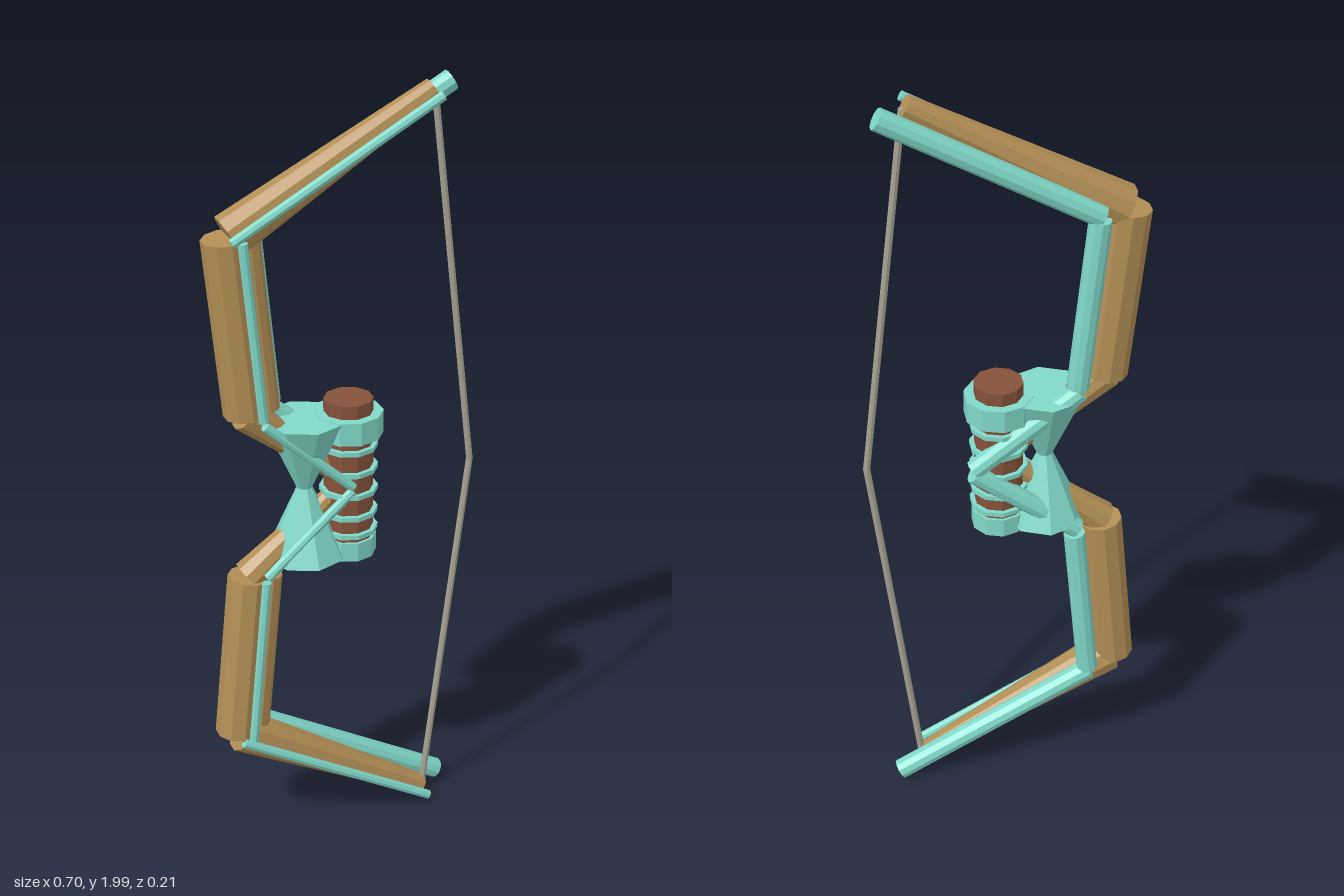
import * as THREE from 'three';

const flat = (color, name) => {
  const m = new THREE.MeshStandardMaterial({ color, flatShading: true });
  m.name = name;
  return m;
};

export function createModel() {
  const wood = flat(0xb28e55, 'wood');
  const teal = flat(0x80d8c9, 'teal metal');
  const leather = flat(0x85523b, 'grip leather');
  const cord = flat(0xa5a292, 'string cord');

  const bow = new THREE.Group();
  bow.name = 'bow';
  const MID = 1.001; // height of the mirror line

  function add(name, geometry, material, x = 0, y = 0, z = 0) {
    const mesh = new THREE.Mesh(geometry, material);
    mesh.name = name;
    mesh.position.set(x, y, z);
    bow.add(mesh);
    return mesh;
  }

  // Tapered rod between two points given as [x, height above the mirror line]
  function rod(name, a, b, z, ra, rb, material, side, sides = 10) {
    const p = new THREE.Vector3(a[0], MID + side * a[1], z);
    const q = new THREE.Vector3(b[0], MID + side * b[1], z);
    const dir = q.clone().sub(p);
    const mesh = add(name, new THREE.CylinderGeometry(rb, ra, dir.length(), sides), material);
    mesh.position.copy(p).add(q).multiplyScalar(0.5);
    mesh.quaternion.setFromUnitVectors(new THREE.Vector3(0, 1, 0), dir.normalize());
  }

  for (const side of [1, -1]) {
    const s = side > 0 ? 'upper' : 'lower';

    // Wooden limb in three pieces, the middle one backed by a slimmer stave
    rod(s + 'InnerLimb', [-0.256, 0.225], [0, 0.005], 0, 0.045, 0.02, wood, side);
    rod(s + 'MiddleLimb', [-0.252, 0.224], [-0.295, 0.676], 0, 0.057, 0.058, wood, side);
    rod(s + 'MiddleStave', [-0.2, 0.229], [-0.243, 0.681], 0, 0.032, 0.032, wood, side);
    rod(s + 'TipLimb', [-0.286, 0.678], [0.223, 0.974], 0, 0.056, 0.028, wood, side);

    // Thin rods along the front
    rod(s + 'FrontInnerRod', [-0.225, 0.208], [0.002, 0.005], 0.057, 0.0125, 0.0125, teal, side, 8);
    rod(s + 'FrontMiddleRod', [-0.227, 0.22], [-0.27, 0.678], 0.057, 0.0125, 0.0125, teal, side, 8);
    rod(s + 'FrontTipRod', [-0.297, 0.68], [0.224, 0.973], 0.057, 0.0125, 0.0125, teal, side, 8);

    // Thicker rods along the back
    rod(s + 'BackInnerRod', [-0.18, 0.208], [0.083, 0.005], -0.055, 0.026, 0.026, teal, side);
    rod(s + 'BackMiddleRod', [-0.174, 0.222], [-0.218, 0.678], -0.055, 0.028, 0.028, teal, side);
    rod(s + 'BackTipRod', [-0.222, 0.686], [0.293, 0.975], -0.055, 0.027, 0.027, teal, side);

    // Flared bracket, narrow at the waist
    rod(s + 'Bracket', [-0.105, 0], [-0.105, 0.187], 0, 0.02, 0.103, teal, side, 8);

    // Half of the drawn string
    rod(s + 'String', [0.343, 0], [0.228, 0.968], 0, 0.009, 0.009, cord, side, 8);
  }

  // Grip with its collars and rings
  const gx = 0.012;
  add('grip', new THREE.CylinderGeometry(0.062, 0.062, 0.4, 10), leather, gx, 1.025, 0);
  add('topCollar', new THREE.CylinderGeometry(0.087, 0.087, 0.06, 10), teal, gx, 1.16, 0);
  add('bottomCollar', new THREE.CylinderGeometry(0.07, 0.07, 0.05, 10), teal, gx, 0.826, 0);
  for (const y of [1.1, 1.04, 0.98, 0.92, 0.87]) {
    add('gripRing', new THREE.CylinderGeometry(0.074, 0.074, 0.012, 10), teal, gx, y, 0);
  }

  return bow;
}
